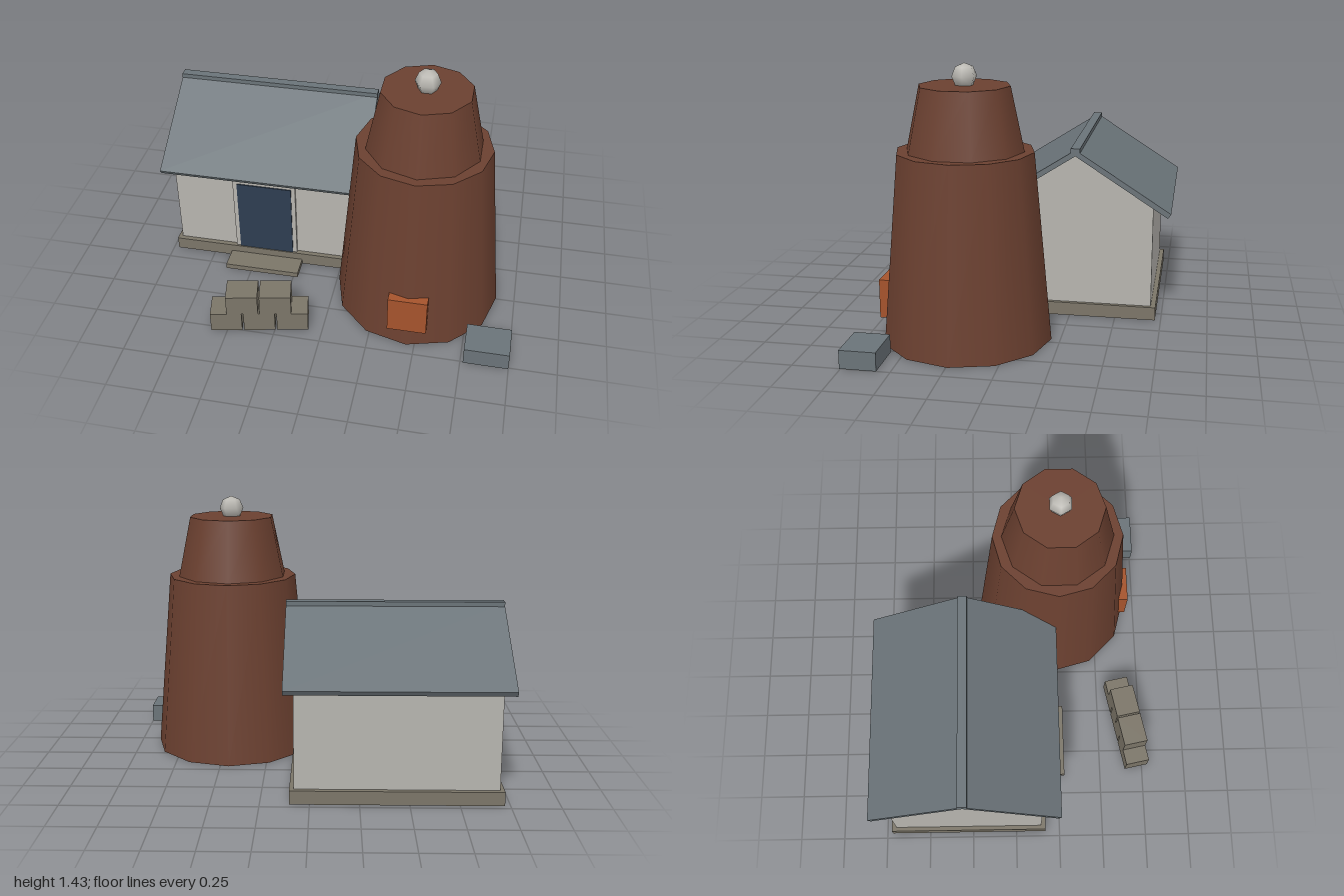
import * as THREE from 'three';

const mat = (name, color) => {
  const m = new THREE.MeshStandardMaterial({ color });
  m.name = name;
  return m;
};

export function createModel() {
  const brick = mat('brick red', 0x6b4030);
  const slate = mat('slate grey', 0x6a7378);
  const plaster = mat('pale plaster', 0xb6b4ae);
  const stone = mat('stone', 0x7b7568);
  const navy = mat('door blue', 0x2e3d50);
  const rust = mat('hatch orange', 0xa5532c);
  const pearl = mat('finial grey', 0xbcbab4);

  const model = new THREE.Group();
  model.name = 'kilnAndHouse';

  const add = (parent, name, geometry, material, x = 0, y = 0, z = 0) => {
    const mesh = new THREE.Mesh(geometry, material);
    mesh.name = name;
    mesh.position.set(x, y, z);
    parent.add(mesh);
    return mesh;
  };
  // Box given by its limits on each axis
  const box = (parent, name, material, [x0, x1], [y0, y1], [z0, z1]) =>
    add(parent, name, new THREE.BoxGeometry(x1 - x0, y1 - y0, z1 - z0), material,
      (x0 + x1) / 2, (y0 + y1) / 2, (z0 + z1) / 2);
  // Gable profile (across, up) extruded along x and centred
  const extrudeX = (points, length) => {
    const shape = new THREE.Shape(points.map(([a, b]) => new THREE.Vector2(a, b)));
    return new THREE.ExtrudeGeometry(shape, { depth: length, bevelEnabled: false })
      .translate(0, 0, -length / 2).rotateY(Math.PI / 2);
  };

  // House, local origin under the ridge centre
  const house = new THREE.Group();
  house.name = 'house';
  house.position.set(-0.435, 0, -0.276);
  model.add(house);
  box(house, 'foundation', stone, [-0.537, 0.537], [0, 0.072], [-0.443, 0.443]);
  add(house, 'walls', extrudeX(
    [[-0.417, 0.07], [0.417, 0.07], [0.417, 0.64], [0, 0.907], [-0.417, 0.64]], 1.03), plaster);
  add(house, 'roof', extrudeX(
    [[0, 0.905], [0.497, 0.585], [0.513, 0.61], [0, 0.938], [-0.513, 0.61], [-0.497, 0.585]], 1.13), slate);
  box(house, 'ridgeCap', slate, [-0.565, 0.565], [0.915, 0.946], [-0.025, 0.025]);
  box(house, 'doorFrame', plaster, [-0.18, 0.178], [0.07, 0.55], [0.4, 0.432]);
  box(house, 'door', navy, [-0.155, 0.155], [0.07, 0.52], [0.431, 0.438]);
  box(house, 'doorstep', stone, [-0.21, 0.21], [0, 0.03], [0.42, 0.564]);

  // Two-tier kiln tower
  const tower = new THREE.Group();
  tower.name = 'tower';
  tower.position.set(0.455, 0, 0.242);
  model.add(tower);
  add(tower, 'lowerTower', new THREE.CylinderGeometry(0.355, 0.445, 0.99, 12), brick, 0, 0.495);
  add(tower, 'upperTower', new THREE.CylinderGeometry(0.235, 0.305, 0.33, 10), brick, 0, 1.155);
  add(tower, 'finial', new THREE.SphereGeometry(0.066, 6, 4), pearl, 0, 1.365);
  box(tower, 'hatch', rust, [-0.103, 0.103], [0.1, 0.306], [0.36, 0.445]);

  // Loose slab beside the tower
  box(model, 'slab', slate, [0.765, 1], [0, 0.096], [0.57, 0.757]);

  // Stacked stone blocks: three below, two above
  const stack = new THREE.Group();
  stack.name = 'blockStack';
  stack.position.set(-0.343, 0, 0.664);
  stack.rotation.y = 0.2;
  model.add(stack);
  [3, 2].forEach((count, row) => {
    for (let i = 0; i < count; i++) {
      add(stack, 'block', new THREE.BoxGeometry(0.167, 0.117, 0.135), stone,
        (i - (count - 1) / 2) * 0.177, 0.0585 + row * 0.117);
    }
  });

  return model;
}
